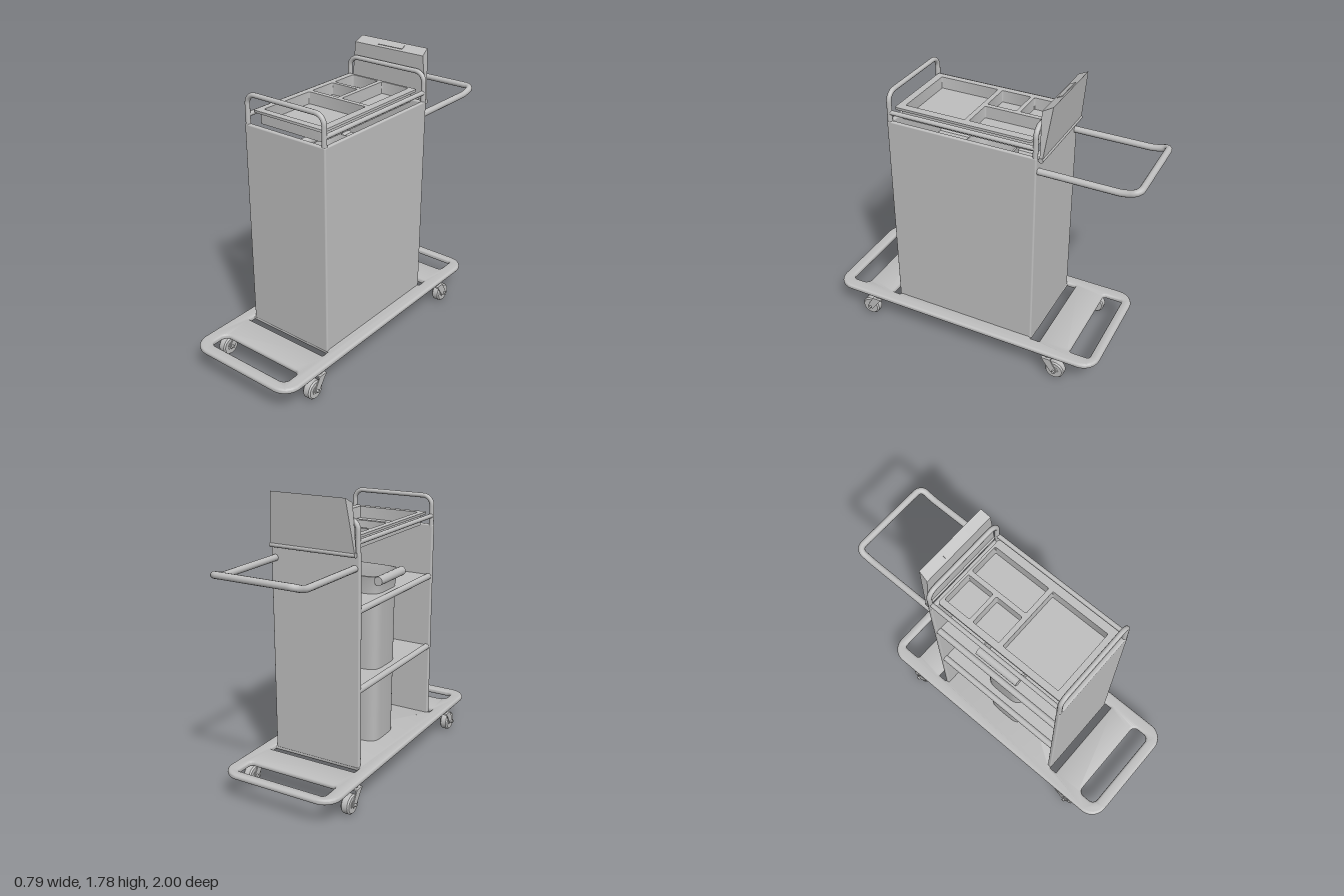
import * as THREE from 'three';
import { toCreasedNormals } from 'three/addons/utils/BufferGeometryUtils.js';
import { RoundedBoxGeometry } from 'three/addons/geometries/RoundedBoxGeometry.js';

const grey = new THREE.MeshStandardMaterial({ color: 0xbfbfbf, side: THREE.DoubleSide });
grey.name = 'grey';

const V = (x, y, z) => new THREE.Vector3(x, y, z);

function add(parent, name, geometry, x = 0, y = 0, z = 0) {
  const mesh = new THREE.Mesh(geometry, grey);
  mesh.name = name;
  mesh.position.set(x, y, z);
  parent.add(mesh);
  return mesh;
}

// Block given by its low and high corners
function block(parent, name, a, b, r = 0) {
  const s = a.map((v, i) => b[i] - v);
  const g = r ? new RoundedBoxGeometry(...s, 3, r) : new THREE.BoxGeometry(...s);
  return add(parent, name, g, ...a.map((v, i) => (v + b[i]) / 2));
}

// Tube through points, each inner corner rounded by r
function bentTube(points, r, radius) {
  const path = new THREE.CurvePath();
  let from = points[0];
  for (let i = 1; i < points.length - 1; i++) {
    const p = points[i];
    const a = p.clone().add(points[i - 1].clone().sub(p).setLength(r));
    const b = p.clone().add(points[i + 1].clone().sub(p).setLength(r));
    const k = 0.45;
    path.add(new THREE.LineCurve3(from, a));
    path.add(new THREE.CubicBezierCurve3(a, a.clone().lerp(p, 1 - k), b.clone().lerp(p, 1 - k), b));
    from = b;
  }
  path.add(new THREE.LineCurve3(from, points[points.length - 1]));
  return new THREE.TubeGeometry(path, 120, radius, 12);
}

// Rounded rectangle in plan; the shape's y is world -z
function plan(x0, x1, z0, z1, r, Type = THREE.Shape) {
  const s = new Type();
  const b = -z1, t = -z0;
  s.moveTo(x0 + r, b);
  s.lineTo(x1 - r, b);
  s.absarc(x1 - r, b + r, r, -Math.PI / 2, 0);
  s.lineTo(x1, t - r);
  s.absarc(x1 - r, t - r, r, 0, Math.PI / 2);
  s.lineTo(x0 + r, t);
  s.absarc(x0 + r, t - r, r, Math.PI / 2, Math.PI);
  s.lineTo(x0, b + r);
  s.absarc(x0 + r, b + r, r, Math.PI, Math.PI * 1.5);
  return s;
}

// Flat slab between two heights, with optional rounded edge
function slab(shape, y0, y1, bevel = 0) {
  const g = new THREE.ExtrudeGeometry(shape, {
    depth: y1 - y0 - 2 * bevel, bevelEnabled: bevel > 0, bevelSize: bevel,
    bevelThickness: bevel, bevelOffset: -bevel, bevelSegments: 4, curveSegments: 8
  });
  g.rotateX(-Math.PI / 2);
  g.translate(0, y0 + bevel, 0);
  return toCreasedNormals(g, 0.6);
}

function makeCaster(side, z, dir) {
  const caster = new THREE.Group();
  caster.name = 'caster';
  caster.position.set(side * 0.345, 0, z);
  const profile = [[0.02, -0.027], [0.052, -0.027], [0.06, -0.018], [0.06, 0.018], [0.052, 0.027], [0.02, 0.027]];
  const tyre = new THREE.LatheGeometry(profile.map(p => new THREE.Vector2(...p)), 28);
  add(caster, 'wheel', toCreasedNormals(tyre.rotateZ(Math.PI / 2), 0.6), 0, 0.06, 0);
  add(caster, 'axle', new THREE.CylinderGeometry(0.01, 0.01, 0.095, 12).rotateZ(Math.PI / 2), 0, 0.06, 0);
  add(caster, 'hub', new THREE.CylinderGeometry(0.028, 0.028, 0.058, 20).rotateZ(Math.PI / 2), 0, 0.06, 0);
  // Fork plates lean back from the swivel to the axle
  const fork = new THREE.Shape();
  [[-0.02, 0.05], [0.012, 0.045], [0.02, 0.06], [-0.025, 0.14], [-0.085, 0.14], [-0.06, 0.105]]
    .forEach(([u, v], i) => (i ? fork.lineTo(u * dir, v) : fork.moveTo(u * dir, v)));
  for (const s of [-1, 1]) {
    const g = new THREE.ExtrudeGeometry(fork, { depth: 0.006, bevelEnabled: false });
    g.rotateY(-Math.PI / 2);
    add(caster, 'forkPlate', g, s * 0.033 + 0.003, 0, 0);
  }
  block(caster, 'forkTop', [-0.036, 0.132, -0.055 * dir - 0.03], [0.036, 0.142, -0.055 * dir + 0.03]);
  add(caster, 'swivel', new THREE.CylinderGeometry(0.022, 0.022, 0.03, 16), 0, 0.15, -0.055 * dir);
  return caster;
}

export function createModel() {
  const cart = new THREE.Group();
  cart.name = 'serviceCart';

  // Base platform with hand slots at both ends
  const base = plan(-0.383, 0.383, -0.85, 1, 0.11);
  for (const [z0, z1, r] of [[0.8, 0.925, 0.04], [0.55, 0.6, 0.004], [-0.46, -0.4, 0.004], [-0.79, -0.66, 0.02]])
    base.holes.push(plan(-0.298, 0.298, z0, z1, r, THREE.Path));
  add(cart, 'base', slab(base, 0.155, 0.19, 0.0165));
  for (const s of [-1, 1]) {
    cart.add(makeCaster(s, 0.745, 1));
    cart.add(makeCaster(s, -0.595, -1));
  }

  // Cabinet: closed on three sides, open on the right
  const cabinet = new THREE.Group();
  cabinet.name = 'cabinet';
  cart.add(cabinet);
  block(cabinet, 'frontPanel', [-0.295, 0.175, 0.522], [0.295, 1.48, 0.55], 0.01);
  block(cabinet, 'backPanel', [-0.295, 0.175, -0.4], [0.295, 1.48, -0.372], 0.01);
  block(cabinet, 'sidePanel', [0.27, 0.175, -0.392], [0.295, 1.48, 0.542], 0.008);
  for (const y of [0.66, 1.14]) {
    block(cabinet, 'shelf', [-0.275, y - 0.012, -0.375], [0.275, y + 0.012, 0.525]);
    add(cabinet, 'shelfLip', new THREE.CylinderGeometry(0.02, 0.02, 0.9, 14).rotateX(Math.PI / 2), -0.273, y, 0.075);
  }

  // Hoops at both ends and the rails joining them
  for (const z of [0.535, -0.387])
    add(cart, 'hoop', bentTube([V(-0.279, 1.46, z), V(-0.279, 1.657, z), V(0.279, 1.657, z), V(0.279, 1.46, z)], 0.06, 0.015));
  for (const s of [-1, 1])
    add(cart, 'rail', new THREE.CylinderGeometry(0.014, 0.014, 0.92, 12).rotateX(Math.PI / 2), s * 0.279, 1.533, 0.074);

  // Push handle
  add(cart, 'pushHandle', bentTube([
    V(-0.265, 1.387, -0.39), V(-0.265, 1.387, -0.9), V(-0.265, 1.415, -0.978),
    V(0.265, 1.415, -0.978), V(0.265, 1.387, -0.9), V(0.265, 1.387, -0.39)
  ], 0.04, 0.02));

  // Divided tray
  const tray = new THREE.Group();
  tray.name = 'tray';
  cart.add(tray);
  const wells = [[-0.215, -0.02, -0.335, -0.155], [-0.215, -0.02, -0.13, 0.055],
    [0.01, 0.205, -0.335, 0.055], [-0.215, 0.205, 0.085, 0.47]];
  const withWells = shape => {
    for (const w of wells) shape.holes.push(plan(...w, 0.008, THREE.Path));
    return shape;
  };
  add(tray, 'trayRim', slab(withWells(plan(-0.255, 0.255, -0.35, 0.515, 0.012)), 1.545, 1.56));
  add(tray, 'trayWalls', slab(withWells(plan(-0.23, 0.225, -0.345, 0.49, 0.012)), 1.485, 1.545));
  add(tray, 'trayFloor', slab(plan(-0.23, 0.225, -0.345, 0.49, 0.012), 1.477, 1.485));

  // Deep bin standing through the shelves and the base
  const profile = [[0, 0.032], [0.72, 0.034], [0.88, 0.055], [0.97, 0.1], [1, 0.16], [1.05, 1.15],
    [1.1, 1.23], [1.14, 1.26], [1.08, 1.262], [1, 1.2], [0.93, 0.3], [0, 0.28]];
  const bin = new THREE.LatheGeometry(profile.map(p => new THREE.Vector2(...p)), 48);
  const pos = bin.attributes.position;
  const square = (v, r) => (r ? Math.sign(v) * Math.pow(Math.abs(v) / r, 0.4) * r : 0);
  for (let i = 0; i < pos.count; i++) {
    const x = pos.getX(i), z = pos.getZ(i), r = Math.hypot(x, z);
    pos.setX(i, square(x, r) * 0.215);
    pos.setZ(i, square(z, r) * 0.14);
  }
  add(cart, 'bin', toCreasedNormals(bin, 0.7), 0, 0, 0.065);
  add(cart, 'binGrip', new THREE.CylinderGeometry(0.028, 0.028, 0.3, 16).rotateX(Math.PI / 2), -0.238, 1.24, 0.065);

  // Wedge-shaped holder leaning out behind the back hoop
  const wedge = new THREE.BoxGeometry(1, 1, 1);
  const wp = wedge.attributes.position;
  for (let i = 0; i < wp.count; i++) {
    const side = Math.sign(wp.getX(i)), top = wp.getY(i) > 0, front = wp.getZ(i) > 0;
    if (top) wp.setXYZ(i, side * (front ? 0.253 : 0.244), front ? 1.75 : 1.782, front ? -0.405 : -0.466);
    else wp.setXYZ(i, side * 0.282, 1.46, front ? -0.413 : -0.428);
  }
  wedge.computeVertexNormals();
  add(cart, 'holder', wedge);
  add(cart, 'holderHinge', new THREE.CylinderGeometry(0.015, 0.015, 0.565, 14).rotateZ(Math.PI / 2), 0, 1.467, -0.42);
  const slot = add(cart, 'holderSlot', new THREE.BoxGeometry(0.185, 0.006, 0.036), 0, 1.767, -0.436);
  slot.rotation.x = 0.48;

  return cart;
}
